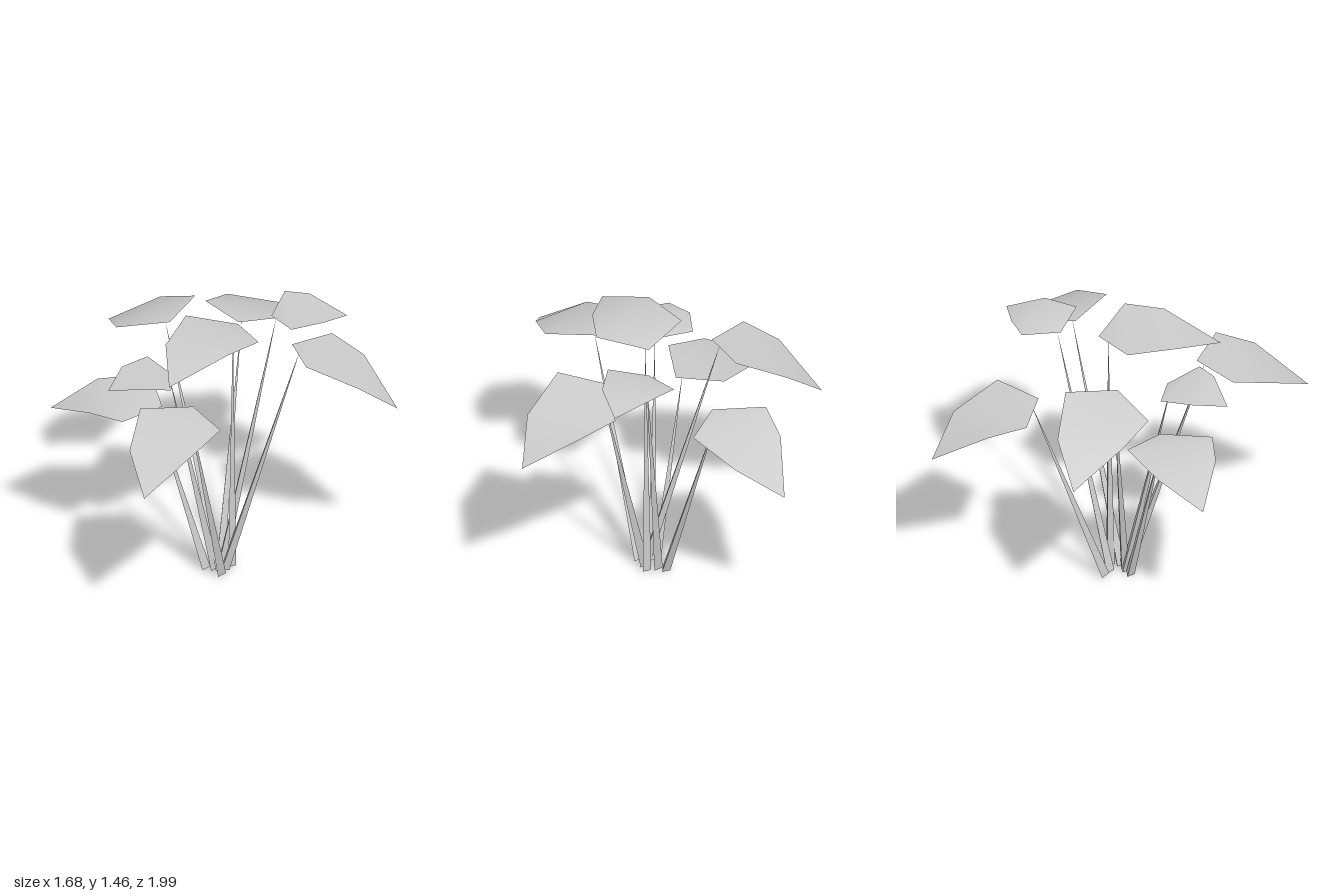
import * as THREE from 'three';

const material = new THREE.MeshStandardMaterial({ color: 0xcccccc, side: THREE.DoubleSide });
const stemMaterial = new THREE.MeshStandardMaterial({ color: 0xcccccc, flatShading: true });

// One drooping leaf blade: base at the origin, tip towards +z
function leafGeometry() {
  const geometry = new THREE.BufferGeometry();
  geometry.setAttribute('position', new THREE.Float32BufferAttribute([
    0, 0, 0,
    -0.235, 0, 0.135, 0.228, 0, 0.155,
    -0.17, -0.09, 0.4, 0.17, -0.055, 0.345,
    0, -0.235, 0.585,
  ], 3));
  geometry.setIndex([0, 1, 2, 1, 3, 2, 2, 3, 4, 3, 5, 4]);
  geometry.computeVertexNormals();
  return geometry;
}

// Three-sided stem tapering to a point between two points
function stem(from, to) {
  const axis = to.clone().sub(from);
  const mesh = new THREE.Mesh(new THREE.ConeGeometry(0.027, axis.length(), 3), stemMaterial);
  mesh.position.copy(from).addScaledVector(axis, 0.5);
  mesh.quaternion.setFromUnitVectors(new THREE.Vector3(0, 1, 0), axis.normalize());
  mesh.name = 'stem';
  return mesh;
}

// root: foot of the stem (x, z); top: base of the leaf; yaw in degrees, pitch and roll in radians
const stalks = [
  { root: [-0.07, -0.08], top: [-0.17, 1.195, -0.43], yaw: -166, pitch: 0, roll: 0 },
  { root: [0.02, 0.06], top: [0.07, 1.195, 0.415], yaw: 6, pitch: 0, roll: 0 },
  { root: [0.01, 0.01], top: [0.3, 1.335, -0.18], yaw: 106.5, pitch: -0.08, roll: 0.12 },
  { root: [-0.01, 0.03], top: [-0.35, 1.335, -0.045], yaw: -118, pitch: -0.08, roll: 0.12 },
  { root: [0.02, -0.04], top: [0.03, 1.415, -0.095], yaw: -3, pitch: 0.27, roll: 0 },
  { root: [-0.08, 0.05], top: [-0.255, 0.98, 0.185], yaw: -74, pitch: 0.2, roll: 0.07, length: 0.96 },
  { root: [-0.04, -0.05], top: [0.116, 1.397, -0.28], yaw: 128, pitch: 0.32, roll: 0, width: 0.83, length: 0.62 },
  { root: [-0.04, 0.03], top: [-0.155, 1.22, 0.235], yaw: -38, pitch: 0.33, roll: 0, width: 0.8, length: 0.57 },
];

export function createModel() {
  const plant = new THREE.Group();
  plant.name = 'leafyPlant';
  const blade = leafGeometry();
  for (const { root, top, yaw, pitch, roll, width = 1, length = 1 } of stalks) {
    const stalk = new THREE.Group();
    stalk.name = 'stalk';
    const leaf = new THREE.Mesh(blade, material);
    leaf.name = 'leaf';
    leaf.position.set(...top);
    leaf.rotation.set(-pitch, THREE.MathUtils.degToRad(yaw), -roll, 'YXZ');
    leaf.scale.set(width, length, length);
    leaf.updateMatrix();
    // The stem meets the blade a little way in from its base
    const joint = new THREE.Vector3(0, 0, 0.05).applyMatrix4(leaf.matrix);
    stalk.add(leaf, stem(new THREE.Vector3(root[0], 0.01, root[1]), joint));
    plant.add(stalk);
  }
  return plant;
}
